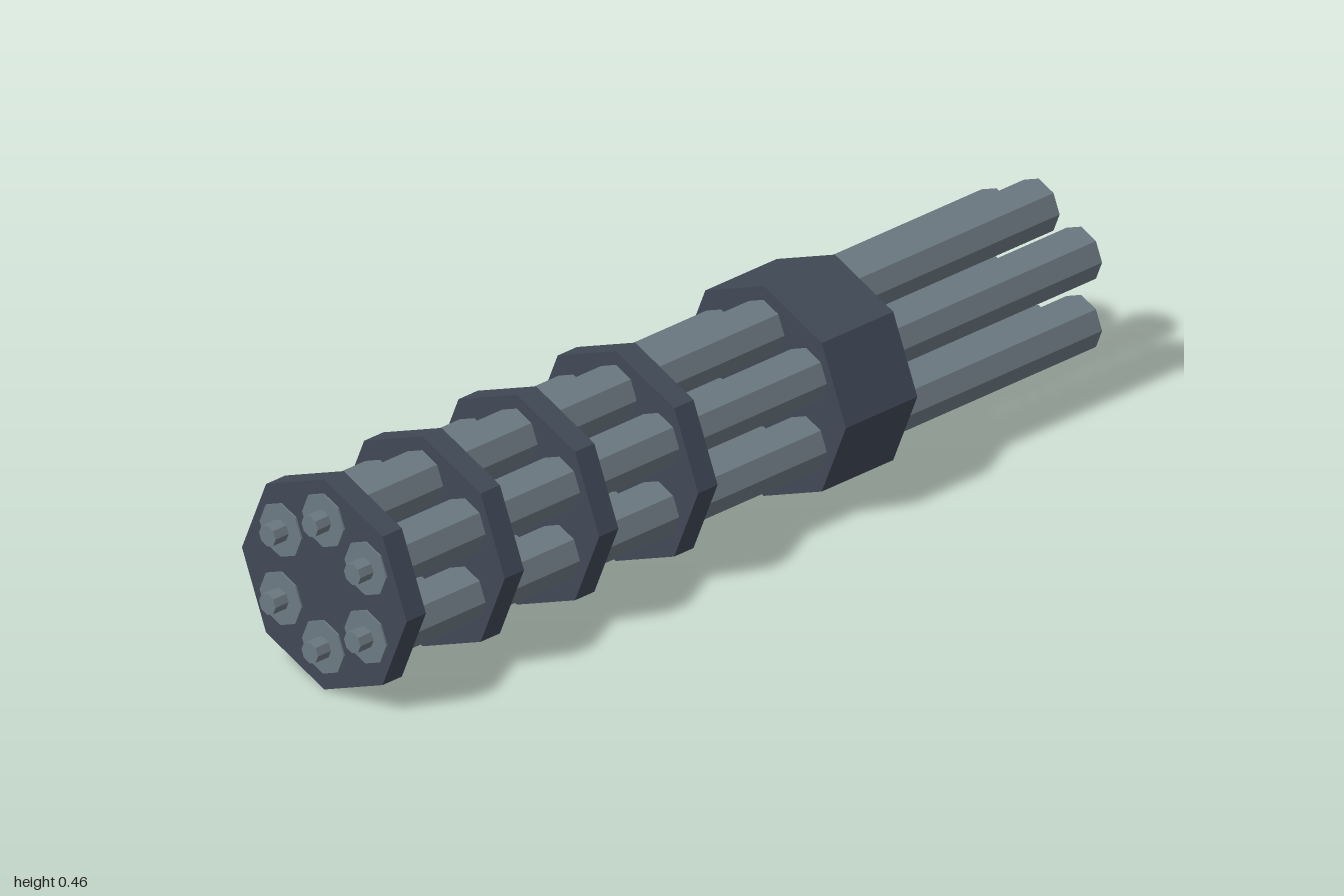
import * as THREE from 'three';

const metal = new THREE.MeshStandardMaterial({ color: 0x6c7a82, flatShading: true });
const darkMetal = new THREE.MeshStandardMaterial({ color: 0x414957, flatShading: true });

// Eight-sided bar along z, with a corner pointing up
function octagonBar(name, radius, zBack, zFront, x, y, material) {
  const geometry = new THREE.CylinderGeometry(radius, radius, zFront - zBack, 8);
  geometry.rotateX(Math.PI / 2);
  const mesh = new THREE.Mesh(geometry, material);
  mesh.name = name;
  mesh.position.set(x, y, (zBack + zFront) / 2);
  return mesh;
}

export function createModel() {
  const model = new THREE.Group();
  model.name = 'rotaryBarrels';

  // Six barrels around the axis, each with a narrow muzzle tip
  const barrelCentres = [
    [0, 0.37], [0.118, 0.307], [0.118, 0.158],
    [0, 0.094], [-0.118, 0.158], [-0.118, 0.307],
  ];
  barrelCentres.forEach(([x, y], i) => {
    model.add(octagonBar(`barrel${i + 1}`, 0.058, -1, 0.964, x, y, metal));
    model.add(octagonBar(`muzzleTip${i + 1}`, 0.023, 0.95, 1, x, y, metal));
  });

  // Four thin clamp plates and one thick collar
  [0.907, 0.638, 0.379, 0.107].forEach((z, i) => {
    model.add(octagonBar(`clampPlate${i + 1}`, 0.229, z, z + 0.053, 0, 0.229, darkMetal));
  });
  model.add(octagonBar('rearCollar', 0.229, -0.441, -0.245, 0, 0.229, darkMetal));

  // The whole cluster is turned very slightly about the vertical
  model.rotation.y = -0.008;
  return model;
}
